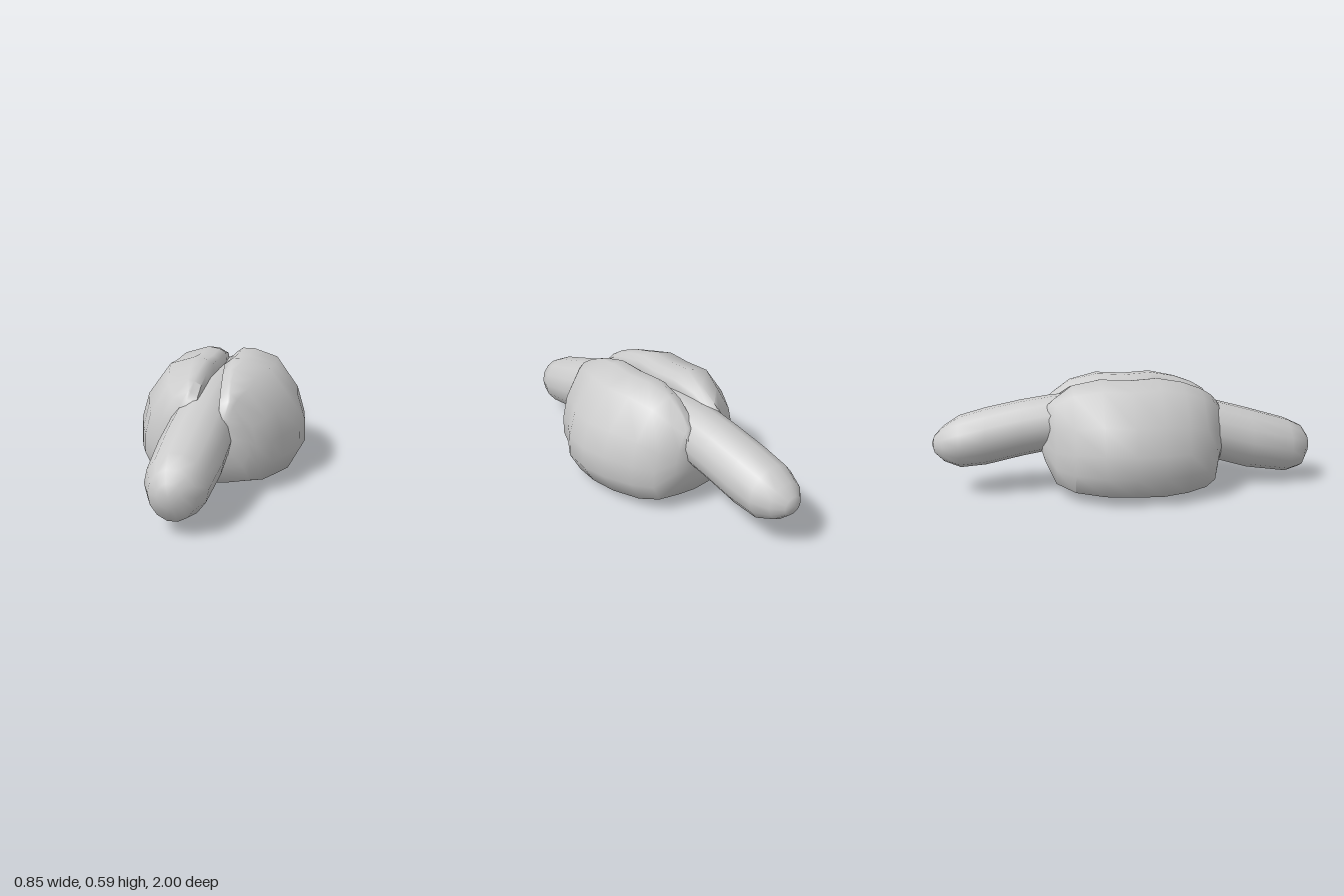
import * as THREE from 'three';
import { toCreasedNormals } from 'three/addons/utils/BufferGeometryUtils.js';

const material = new THREE.MeshStandardMaterial({ color: 0xcccccc });

// Skins a stack of closed rings (counter-clockwise, running from +z to -z) and caps both ends.
function loft(name, rings, frontTip, backTip) {
  const n = rings[0].length;
  const pos = rings.flat(2);
  const index = [];
  const front = rings.length * n;
  const back = front + 1;
  pos.push(...frontTip, ...backTip);
  for (let i = 0; i < n; i++) {
    const k = (i + 1) % n;
    for (let j = 0; j < rings.length - 1; j++) {
      const a = j * n + i, b = j * n + k, c = a + n, d = b + n;
      index.push(a, c, b, b, c, d);
    }
    const last = (rings.length - 1) * n;
    index.push(front, i, k, back, last + k, last + i);
  }
  const geometry = new THREE.BufferGeometry();
  geometry.setAttribute('position', new THREE.Float32BufferAttribute(pos, 3));
  geometry.setIndex(index);
  const mesh = new THREE.Mesh(toCreasedNormals(geometry, 1.05), material);
  mesh.name = name;
  return mesh;
}

// Curved sausage: z, centre x, centre height, half width, half height
function createSausage() {
  const stations = [
    [0.99, -0.01, 0.195, 0.055, 0.055], [0.955, -0.008, 0.185, 0.105, 0.115],
    [0.87, -0.015, 0.195, 0.142, 0.146], [0.65, -0.018, 0.243, 0.158, 0.162],
    [0.46, -0.018, 0.296, 0.157, 0.16], [0.2, -0.017, 0.355, 0.152, 0.155],
    [0, -0.017, 0.365, 0.15, 0.15], [-0.2, -0.017, 0.365, 0.15, 0.15],
    [-0.4, -0.017, 0.358, 0.145, 0.143], [-0.55, -0.017, 0.334, 0.143, 0.145],
    [-0.73, -0.02, 0.297, 0.143, 0.146], [-0.86, -0.023, 0.275, 0.137, 0.133],
    [-0.94, -0.028, 0.267, 0.1, 0.09], [-0.985, -0.03, 0.265, 0.05, 0.045],
  ];
  const sides = 14;
  const rings = stations.map(([z, x, y, w, h]) => Array.from({ length: sides }, (_, i) => {
    const a = (i / sides) * Math.PI * 2;
    return [x + w * Math.cos(a), y + h * Math.sin(a), z];
  }));
  return loft('sausage', rings, [-0.01, 0.195, 1], [-0.03, 0.27, -1]);
}

// Split bun: one C-shaped section, resized along z
function createBun() {
  // Outer skin of one side, from the base to the crown
  const outer = [[0.16, 0.012], [0.365, 0.042], [0.425, 0.15], [0.42, 0.26],
    [0.38, 0.39], [0.26, 0.55], [0.13, 0.59]];
  // Lips of the slit, running down into the hollow around the sausage
  const lips = {
    left: [[0.06, 0.59], [0.02, 0.56], [0.025, 0.52], [0.065, 0.42], [0.07, 0.32]],
    right: [[0.07, 0.58], [0.035, 0.56], [0.03, 0.5], [0.045, 0.42], [0.08, 0.32]],
  };
  // z, left half width, right half width, top, bottom
  const stations = [
    [0.505, 0.15, 0.12, 0.39, 0.22], [0.465, 0.215, 0.18, 0.46, 0.13],
    [0.435, 0.25, 0.245, 0.495, 0.04], [0.37, 0.31, 0.325, 0.535, 0.02],
    [0.27, 0.345, 0.37, 0.572, 0.003], [0.14, 0.415, 0.42, 0.597, 0],
    [0, 0.425, 0.425, 0.588, 0.005], [-0.15, 0.403, 0.42, 0.597, 0.013],
    [-0.29, 0.335, 0.33, 0.565, 0.018], [-0.38, 0.27, 0.22, 0.5, 0.045],
    [-0.43, 0.175, 0.14, 0.455, 0.15], [-0.45, 0.13, 0.11, 0.41, 0.22],
  ];
  const rings = stations.map(([z, leftWidth, rightWidth, top, bottom]) => {
    const height = (y) => bottom + (top - bottom) * y / 0.593;
    // The slit spreads toward the back, and more on its left side toward the front
    const spread = 0.035 * Math.max(0, (-z - 0.15) / 0.3);
    const open = 0.06 * Math.max(0, (z - 0.1) / 0.4);
    const half = (sign, width, lip, shift) => {
      const inner = lip.map(([x, y]) => [Math.min(x + shift, 0.7 * width), y]);
      // The crown always stays outside its lip
      const skin = outer.map(([x, y]) => [
        Math.max(x * width / 0.425, y > 0.5 ? inner[0][0] + 0.01 + (0.59 - y) * 0.4 : 0), y]);
      return [...skin, ...inner].map(([x, y]) => [sign * x, height(y), z]);
    };
    return [
      [0, bottom, z],
      ...half(1, leftWidth, lips.left, open + spread),
      [0, height(0.27), z],
      ...half(-1, rightWidth, lips.right, spread).reverse(),
    ];
  });
  return loft('bun', rings, [0, 0.3, 0.49], [0, 0.32, -0.44]);
}

export function createModel() {
  const model = new THREE.Group();
  model.name = 'sausageInBun';
  model.add(createBun(), createSausage());
  return model;
}
